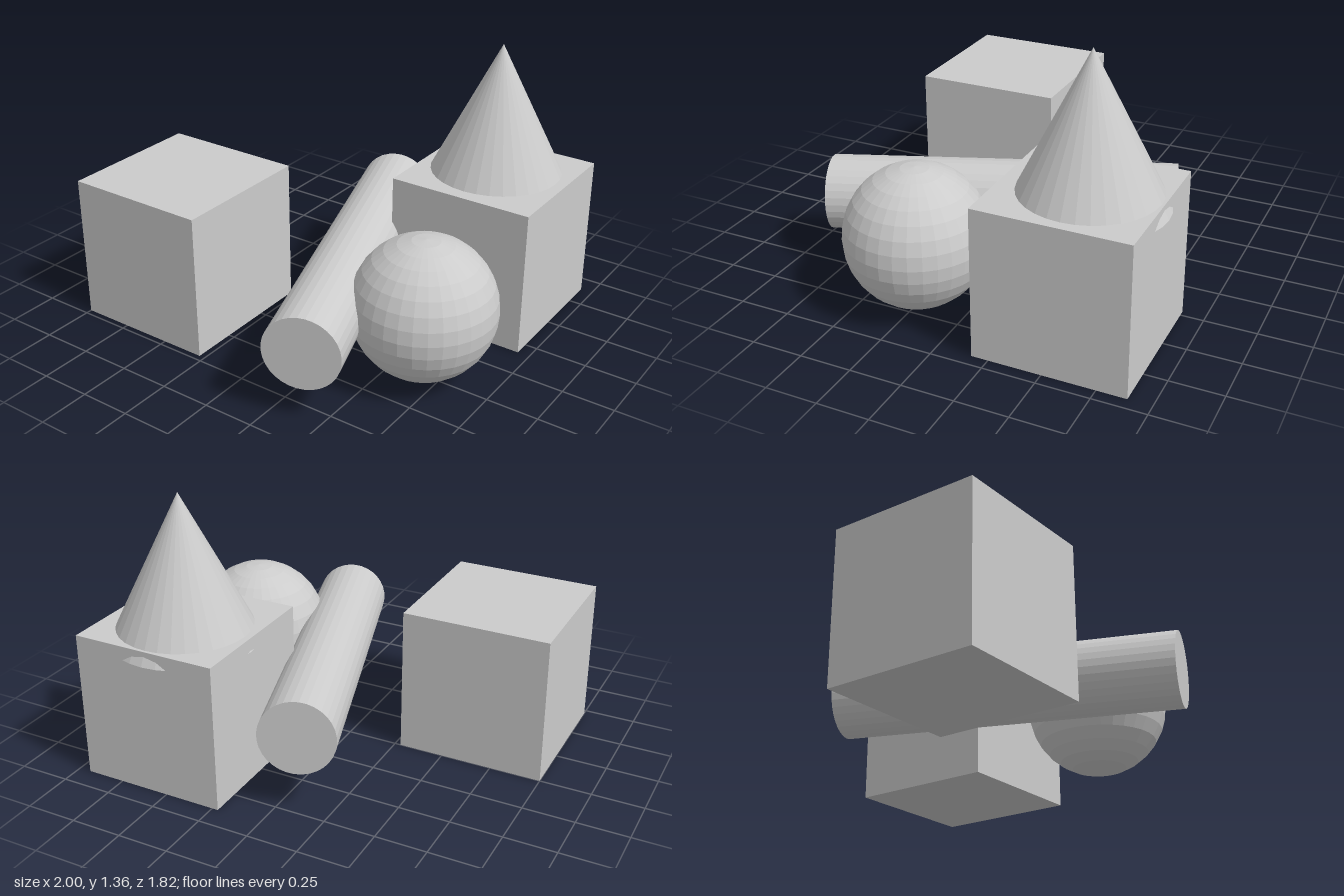
import * as THREE from 'three';

export function createModel() {
  const model = new THREE.Group();
  const material = new THREE.MeshStandardMaterial({ color: 0xcccccc, flatShading: true });

  const add = (name, geometry, x, y, z) => {
    const mesh = new THREE.Mesh(geometry, material);
    mesh.name = name;
    mesh.position.set(x, y, z);
    model.add(mesh);
    return mesh;
  };

  // Two equal cubes standing on the ground
  const cube = new THREE.BoxGeometry(0.72, 0.72, 0.72);
  add('rightCube', cube, -0.64, 0.36, 0.36);
  add('leftCube', cube, 0.58, 0.36, -0.53);

  // Cone sunk slightly into the left cube, its rim poking out at the back
  const coneHeight = 0.705;
  add('cone', new THREE.ConeGeometry(0.353, coneHeight, 32), 0.57, 0.653 + coneHeight / 2, -0.558);

  // Faceted ball
  add('ball', new THREE.SphereGeometry(0.34, 32, 16), 0.657, 0.363, 0.245);

  // Slanted rod running from back to front, touching the ball
  const back = new THREE.Vector3(-0.11, 0.382, -0.737);
  const front = new THREE.Vector3(0.415, 0.342, 0.848);
  const axis = front.clone().sub(back);
  const centre = back.clone().add(front).multiplyScalar(0.5);
  const rod = add('rod', new THREE.CylinderGeometry(0.181, 0.181, axis.length(), 32), centre.x, centre.y, centre.z);
  rod.quaternion.setFromUnitVectors(new THREE.Vector3(0, 1, 0), axis.normalize());

  return model;
}
